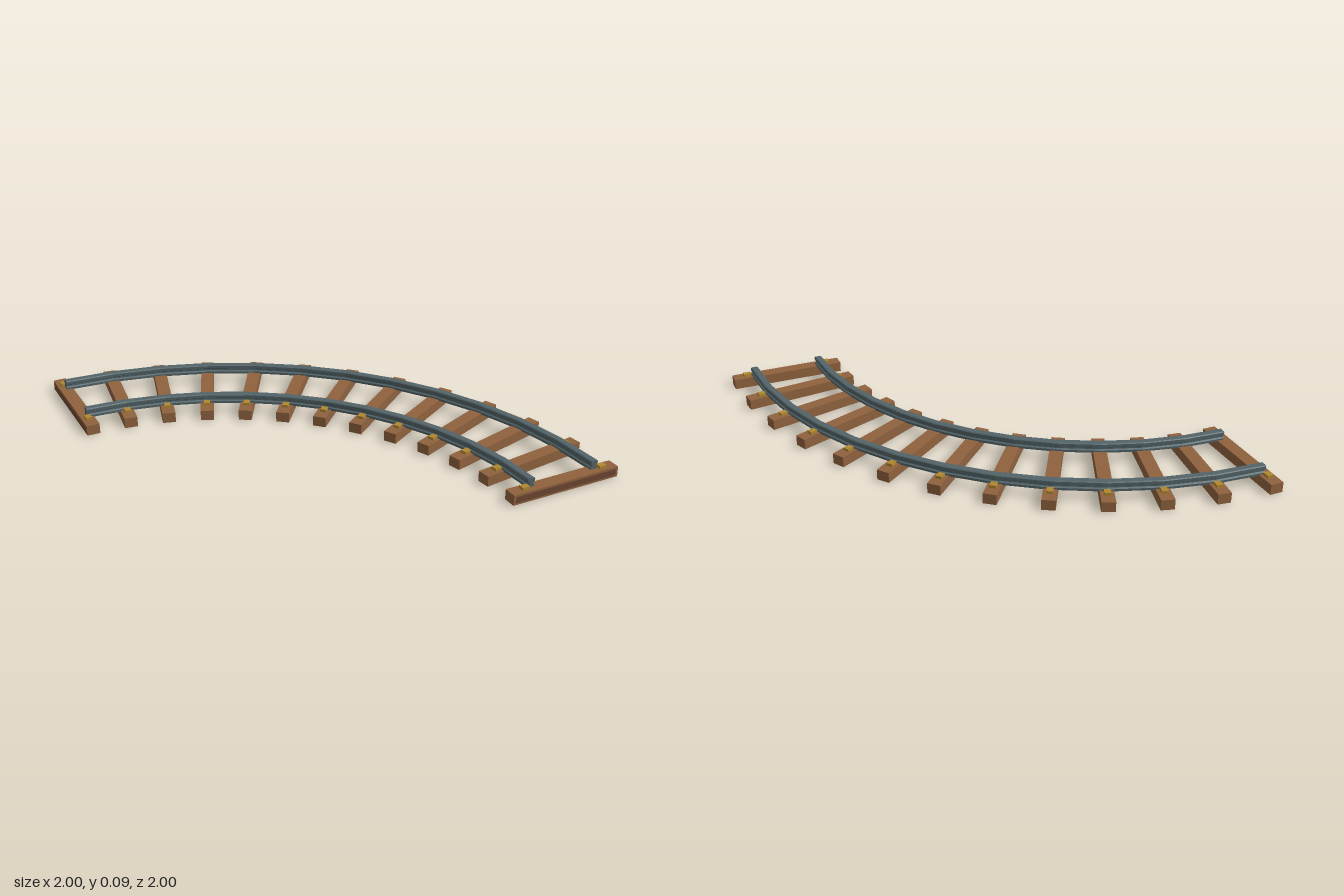
import * as THREE from 'three';

const CENTRE = 0.967; // curve centre is at (-CENTRE, +CENTRE)
const STEPS = 12; // gaps between sleepers over the quarter turn

function material(name, color, extra = {}) {
  const m = new THREE.MeshStandardMaterial({ color, ...extra });
  m.name = name;
  return m;
}

// Sweep a closed (radius, height) profile round the quarter turn in straight pieces
function railGeometry(radius, profile) {
  const positions = [];
  const point = (i, [r, y]) => {
    const a = (i / STEPS) * Math.PI / 2;
    return [(radius + r) * Math.cos(a), y, -(radius + r) * Math.sin(a)];
  };
  const n = profile.length;
  for (let i = 0; i < STEPS; i++) {
    for (let j = 0; j < n; j++) {
      const p = profile[j], q = profile[(j + 1) % n];
      const a = point(i, p), b = point(i, q), c = point(i + 1, q), d = point(i + 1, p);
      positions.push(...a, ...c, ...b, ...a, ...d, ...c);
    }
  }
  // end caps
  const tris = THREE.ShapeUtils.triangulateShape(profile.map(([x, y]) => new THREE.Vector2(x, y)), []);
  for (const [a, b, c] of tris) {
    positions.push(...point(0, profile[a]), ...point(0, profile[b]), ...point(0, profile[c]));
    positions.push(...point(STEPS, profile[a]), ...point(STEPS, profile[c]), ...point(STEPS, profile[b]));
  }
  const g = new THREE.BufferGeometry();
  g.setAttribute('position', new THREE.Float32BufferAttribute(positions, 3));
  g.computeVertexNormals();
  return g;
}

export function createModel() {
  const wood = material('wood', 0x8f623e);
  const darkWood = material('dark wood', 0x6e4632);
  const steel = material('steel', 0x526468, { flatShading: true });
  const brass = material('brass', 0xb08630);

  const model = new THREE.Group();
  model.name = 'curvedTrack';
  const track = new THREE.Group();
  track.name = 'track';
  track.position.set(-CENTRE, 0, CENTRE);
  model.add(track);

  const addBox = (parent, name, mat, size, pos) => {
    const mesh = new THREE.Mesh(new THREE.BoxGeometry(...size), mat);
    mesh.name = name;
    mesh.position.set(...pos);
    parent.add(mesh);
  };

  // Sleepers with a brass fastener outside each rail
  for (let i = 0; i <= STEPS; i++) {
    const sleeper = new THREE.Group();
    sleeper.name = 'sleeper';
    sleeper.rotation.y = (i / STEPS) * Math.PI / 2;
    addBox(sleeper, 'sleeperBeam', wood, [0.56, 0.05, 0.063], [1.687, 0.025, 0]);
    for (const r of [1.482, 1.896]) {
      addBox(sleeper, 'fastener', brass, [0.036, 0.014, 0.03], [r, 0.056, 0]);
    }
    // Thin dark panel on the outward face of the two end sleepers
    if (i === 0 || i === STEPS) {
      addBox(sleeper, 'endPanel', darkWood, [0.535, 0.03, 0.002], [1.687, 0.025, i === 0 ? 0.032 : -0.032]);
    }
    track.add(sleeper);
  }

  // Rails: foot, narrower web and head, counter-clockwise in (radius, height)
  const side = [[0.018, 0.046], [0.018, 0.057], [0.011, 0.062], [0.011, 0.07], [0.018, 0.075], [0.018, 0.088], [0.014, 0.092]];
  const profile = [...side, ...side.slice().reverse().map(([r, y]) => [-r, y])];
  for (const [name, radius] of [['innerRail', 1.517], ['outerRail', 1.856]]) {
    const rail = new THREE.Mesh(railGeometry(radius, profile), steel);
    rail.name = name;
    track.add(rail);
  }
  return model;
}
